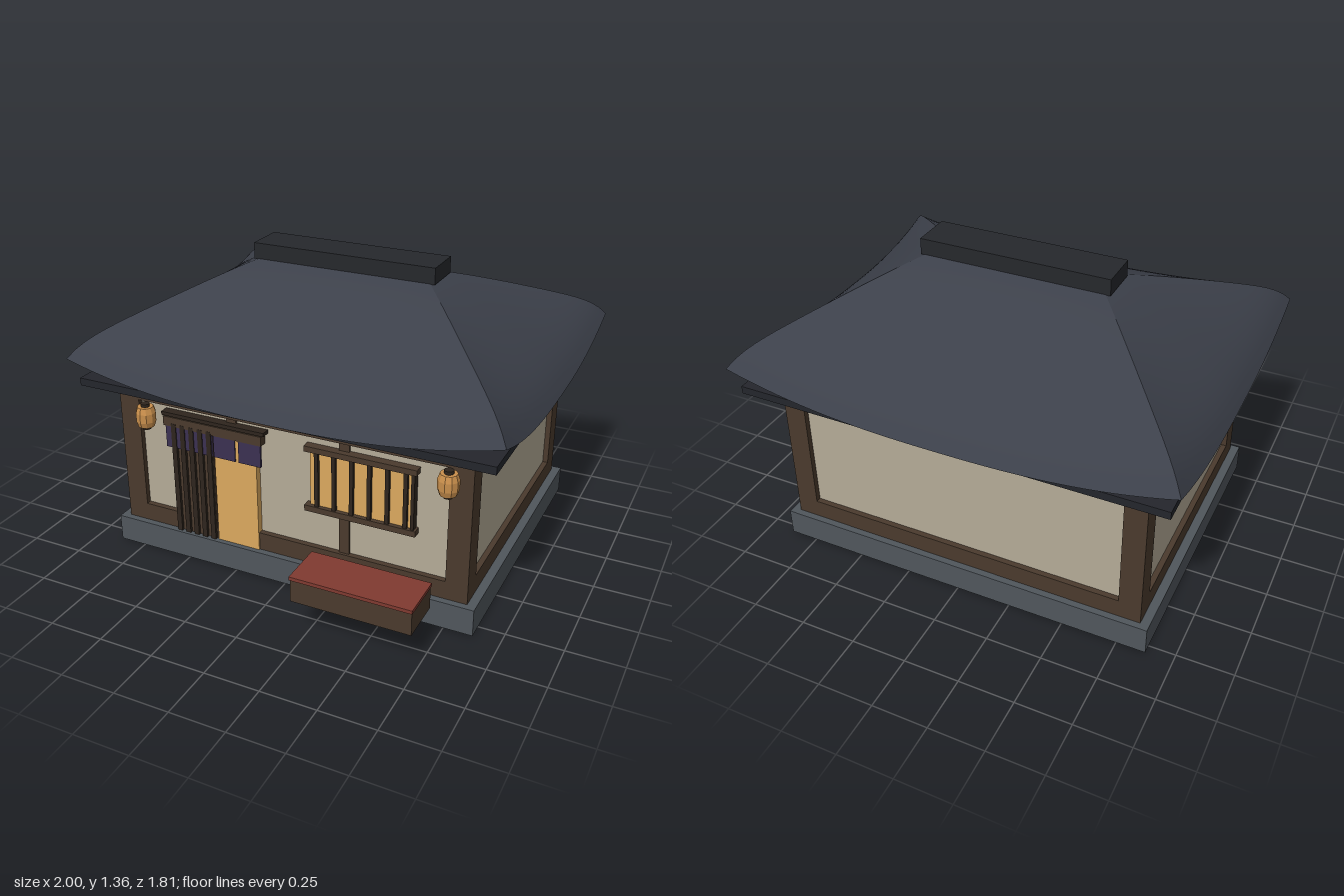
import * as THREE from 'three';

const mat = (color, side = THREE.FrontSide) => new THREE.MeshStandardMaterial({ color, side });

export function createModel() {
  const model = new THREE.Group();
  const wood = mat(0x4a3a2d), darkWood = mat(0x2e251d), plaster = mat(0xb5ab97);
  const stone = mat(0x50565c), slate = mat(0x3c404a, THREE.DoubleSide), ridgeMat = mat(0x26282c);
  const eaveMat = mat(0x24262c), paper = mat(0xdca95f), cloth = mat(0x3b3052);
  const lanternMat = mat(0xc98f4c), red = mat(0x803a30);
  lanternMat.flatShading = true;
  const CZ = -0.11; // centre of the building in z

  // Box given by its limits on each axis
  function box(name, x0, x1, y0, y1, z0, z1, material, parent = model) {
    const mesh = new THREE.Mesh(new THREE.BoxGeometry(x1 - x0, y1 - y0, z1 - z0), material);
    mesh.position.set((x0 + x1) / 2, (y0 + y1) / 2, (z0 + z1) / 2);
    mesh.name = name;
    parent.add(mesh);
    return mesh;
  }
  function group(name) {
    const g = new THREE.Group();
    g.name = name;
    model.add(g);
    return g;
  }

  // Foundation and walls
  box('foundation', -0.88, 0.88, 0, 0.125, -0.79, 0.57, stone);
  box('plasterWalls', -0.815, 0.815, 0.125, 0.82, -0.735, 0.515, plaster);
  const frame = group('timberFrame');
  for (const sx of [-1, 1]) {
    for (const sz of [-1, 1]) {
      const x = sx * 0.79, z = CZ + sz * 0.6;
      box('cornerPost', x - 0.05, x + 0.05, 0.125, 0.82, z - 0.05, z + 0.05, wood, frame);
    }
  }
  for (const [y0, y1] of [[0.125, 0.21], [0.745, 0.82]]) {
    for (const s of [-1, 1]) {
      const z = CZ + s * 0.625, x = s * 0.815;
      box('longBeam', -0.74, 0.74, y0, y1, z - 0.025, z + 0.025, wood, frame);
      box('sideBeam', x - 0.025, x + 0.025, y0, y1, CZ - 0.55, CZ + 0.55, wood, frame);
    }
  }
  for (const x of [-0.27, 0.27])
    box('wallStud', x - 0.024, x + 0.024, 0.21, 0.745, 0.51, 0.527, wood, frame);

  // Doorway: paper door, lattice and split curtain
  const door = group('doorway');
  box('slidingDoor', -0.35, -0.14, 0.125, 0.66, 0.51, 0.547, paper, door);
  box('latticeBacking', -0.56, -0.36, 0.125, 0.66, 0.51, 0.543, wood, door);
  for (let i = 0; i < 5; i++) {
    const x = -0.553 + i * 0.045;
    box('latticeBar', x - 0.012, x + 0.012, 0.125, 0.67, 0.52, 0.556, darkWood, door);
  }
  for (const [x0, x1] of [[-0.595, -0.475], [-0.47, -0.36], [-0.35, -0.242], [-0.225, -0.115]])
    box('curtainPanel', x0, x1, 0.55, 0.665, 0.541, 0.552, cloth, door);
  box('lintel', -0.605, -0.11, 0.655, 0.7, 0.51, 0.555, wood, door);
  box('curtainRail', -0.61, -0.095, 0.705, 0.722, 0.51, 0.557, darkWood, door);

  // Slatted window
  const win = group('window');
  box('windowPaper', 0.115, 0.585, 0.42, 0.68, 0.51, 0.535, paper, win);
  box('windowSill', 0.095, 0.605, 0.395, 0.422, 0.51, 0.555, wood, win);
  box('windowHead', 0.095, 0.605, 0.68, 0.706, 0.51, 0.555, wood, win);
  for (let i = 0; i < 6; i++) {
    const x = 0.15 + i * 0.081;
    box('windowSlat', x - 0.009, x + 0.009, 0.42, 0.68, 0.53, 0.55, darkWood, win);
  }
  box('windowSlat', 0.58, 0.595, 0.42, 0.68, 0.51, 0.55, darkWood, win);

  // Bench with a red seat
  const bench = group('bench');
  box('benchBody', 0.205, 0.735, 0.18, 0.284, 0.7, 0.9, wood, bench);
  box('benchSeat', 0.202, 0.738, 0.284, 0.3, 0.697, 0.905, red, bench);

  // Hanging lanterns
  const profile = [[0, -0.047], [0.036, -0.047], [0.045, -0.02], [0.045, 0.02], [0.036, 0.047], [0, 0.047]]
    .map(([r, y]) => new THREE.Vector2(r, y));
  for (const x of [-0.65, 0.76]) {
    const lantern = group('lantern');
    lantern.position.set(x, 0.717, 0.615);
    const body = new THREE.Mesh(new THREE.LatheGeometry(profile, 10), lanternMat);
    body.name = 'lanternBody';
    lantern.add(body);
    for (const s of [-1, 1]) {
      const cap = new THREE.Mesh(new THREE.CylinderGeometry(0.02, 0.02, 0.016, 10), darkWood);
      cap.position.y = s * 0.053;
      cap.name = 'lanternCap';
      lantern.add(cap);
    }
  }

  // Roof: four curved slopes whose eaves rise toward the corners
  box('eaveBoard', -0.96, 0.96, 0.82, 0.855, -0.875, 0.655, eaveMat);
  const roof = group('roof');
  const slope = (name, along, out, angle) => {
    const geo = new THREE.PlaneGeometry(2, 1, 32, 20);
    const p = geo.attributes.position;
    for (let i = 0; i < p.count; i++) {
      const s = p.getX(i);          // -1..1 between the hips
      const t = 0.5 - p.getY(i);    // 0 at the ridge, 1 at the eave
      const hip = 1.29 - 0.34 * (0.85 * t ** 1.1 + 0.15 * t ** 12);
      const sag = 0.113 * t * t * (1 - Math.abs(s) ** 2.5);
      p.setXYZ(i, s * (along[0] + (along[1] - along[0]) * t), hip - sag, out[0] + (out[1] - out[0]) * t);
    }
    geo.computeVertexNormals();
    const mesh = new THREE.Mesh(geo, slate);
    mesh.rotation.y = angle;
    mesh.position.z = CZ;
    mesh.name = name;
    roof.add(mesh);
  };
  const wide = [0.41, 1], deep = [0.085, 0.795];
  slope('frontSlope', wide, deep, 0);
  slope('backSlope', wide, deep, Math.PI);
  slope('leftSlope', deep, wide, Math.PI / 2);
  slope('rightSlope', deep, wide, -Math.PI / 2);
  box('ridgeCap', -0.44, 0.44, 1.285, 1.36, CZ - 0.095, CZ + 0.095, ridgeMat, roof);

  return model;
}
